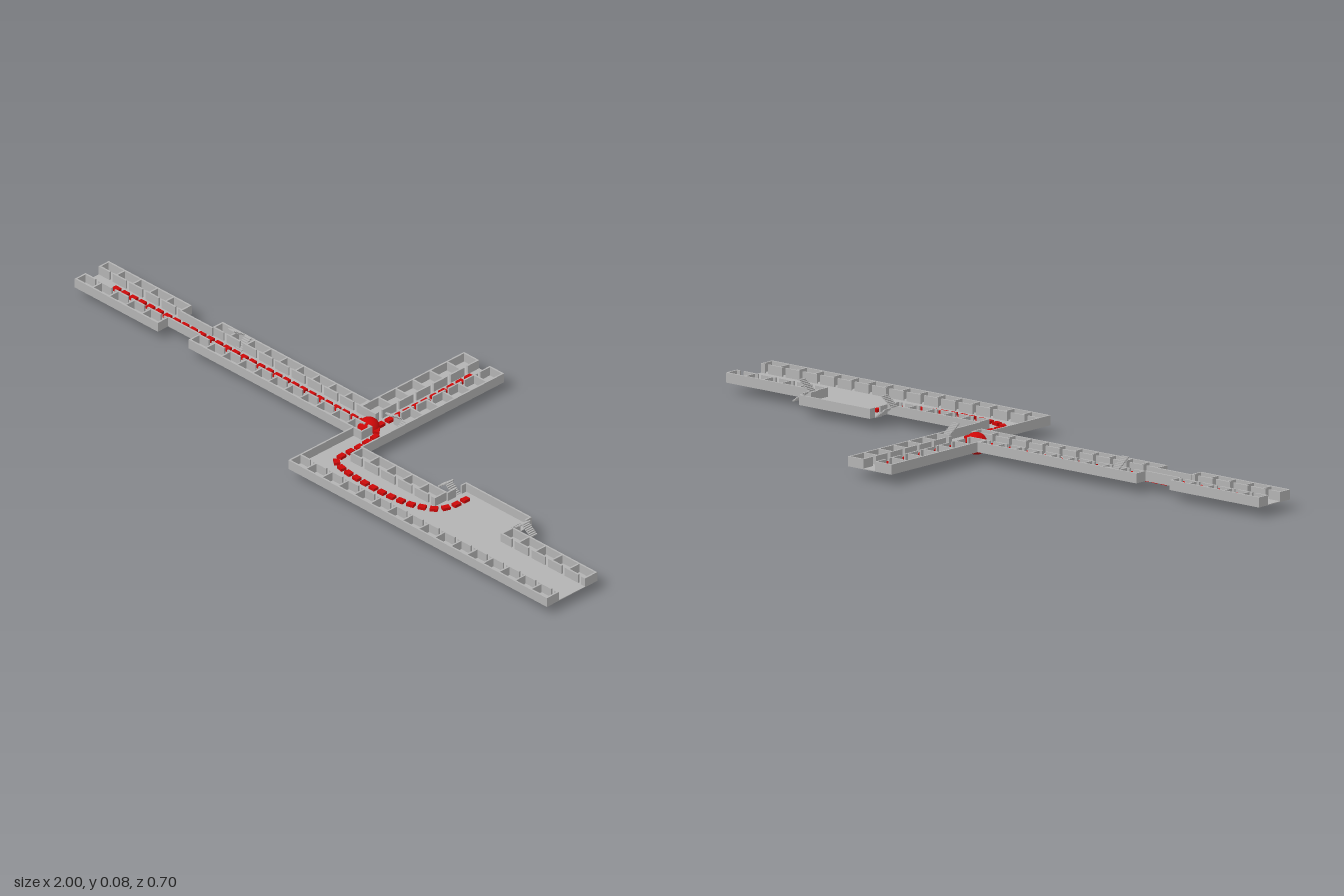
import * as THREE from 'three';

const FLOOR = 0.028, TOP = 0.055, T = 0.005;

export function createModel() {
  const model = new THREE.Group();
  model.name = 'floorPlan';
  const grey = new THREE.MeshStandardMaterial({ color: 0xb3b3b3 });
  grey.name = 'plasterGrey';
  const red = new THREE.MeshStandardMaterial({ color: 0xcc0808 });
  red.name = 'routeRed';

  const group = (name) => {
    const g = new THREE.Group();
    g.name = name;
    model.add(g);
    return g;
  };
  const floors = group('floors'), walls = group('walls'), rooms = group('rooms');
  const stairs = group('stairs'), route = group('route');

  function box(parent, name, x0, x1, y0, y1, z0, z1, mat = grey) {
    const m = new THREE.Mesh(new THREE.BoxGeometry(x1 - x0, y1 - y0, z1 - z0), mat);
    m.position.set((x0 + x1) / 2, (y0 + y1) / 2, (z0 + z1) / 2);
    m.name = name;
    parent.add(m);
  }
  const floor = (x0, x1, z0, z1) => box(floors, 'floor', x0, x1, FLOOR, FLOOR + 0.002, z0, z1);

  // Axis-aligned wall between two points
  function wall(x0, z0, x1, z1, parent = walls) {
    const h = T / 2;
    box(parent, 'wall', Math.min(x0, x1) - h, Math.max(x0, x1) + h, FLOOR, TOP,
      Math.min(z0, z1) - h, Math.max(z0, z1) + h);
  }

  // Row of open-topped rooms; the inner side has a doorway in every room
  function roomRow(axis, from, to, outer, inner) {
    const h = T / 2;
    const start = from + h, end = to - h;
    const out = outer + Math.sign(inner - outer) * h;
    const inn = inner - Math.sign(inner - outer) * h;
    const put = (a0, b0, a1, b1) =>
      axis === 'x' ? wall(a0, b0, a1, b1, rooms) : wall(b0, a0, b1, a1, rooms);
    const n = Math.max(1, Math.round((to - from) / 0.0605));
    const step = (end - start) / n;
    put(start, out, end, out);
    for (let i = 0; i <= n; i++) put(start + i * step, out, start + i * step, inn);
    for (let i = 0; i < n; i++) {
      const a = start + i * step;
      put(a, inn, a + step * 0.58, inn);
      put(a + step * 0.85, inn, a + step, inn);
    }
  }

  // Floor slabs of the three wings, the hub and the hall
  floor(-1, -0.69, -0.01, 0.115);
  floor(-0.69, -0.575, 0.027, 0.077);
  floor(-0.575, 0.035, -0.01, 0.115);
  floor(-0.025, 0.125, -0.355, -0.01);
  floor(0.035, 0.125, -0.01, 0.35);
  floor(0.125, 1, 0.165, 0.35);
  floor(0.44, 0.685, 0.095, 0.165);

  // West wing
  for (const [a, b, c] of [[-1, -0.69, -0.69], [-0.575, -0.025, 0.07]]) {
    roomRow('x', a, b, -0.01, 0.027);
    roomRow('x', a, c, 0.115, 0.075);
  }
  wall(-0.69, 0.0295, -0.575, 0.0295);
  wall(-0.69, 0.0745, -0.575, 0.0745);
  // North wing
  roomRow('z', -0.355, 0.027, -0.025, 0.032);
  roomRow('z', -0.355, 0, 0.125, 0.072);
  // South-east wing
  roomRow('x', 0.035, 1, 0.35, 0.305);
  roomRow('x', 0.125, 0.44, 0.165, 0.21);
  roomRow('x', 0.685, 1, 0.165, 0.21);

  // Hub and hall outer walls
  wall(0.0375, 0.115, 0.0375, 0.3475);
  wall(0.1225, 0, 0.1225, 0.165);
  wall(0.4425, 0.0975, 0.6825, 0.0975);
  wall(0.4425, 0.0975, 0.4425, 0.113);
  wall(0.4425, 0.14, 0.4425, 0.165);
  wall(0.6825, 0.0975, 0.6825, 0.113);
  wall(0.6825, 0.14, 0.6825, 0.165);

  // Two-flight stairs made of separate treads
  const STEPS = 8, RISE = (TOP - FLOOR) / STEPS;
  function flight(axis, a0, a1, b0, b1, base) {
    const run = (a1 - a0) / STEPS;
    for (let i = 0; i < STEPS; i++) {
      const a = a0 + i * run, lo = Math.min(a, a + run), hi = Math.max(a, a + run);
      const y = base + i * RISE;
      if (axis === 'x') box(stairs, 'tread', lo, hi, y, y + RISE, b0, b1);
      else box(stairs, 'tread', b0, b1, y, y + RISE, lo, hi);
    }
  }
  for (const x of [0.404, 0.69]) {
    flight('x', x + 0.036, x, 0.115, 0.139, FLOOR);
    flight('x', x, x + 0.036, 0.14, 0.164, TOP);
  }
  for (const x of [-0.511, 0.077]) {
    flight('z', 0.035, -0.005, x + 0.025, x + 0.048, FLOOR);
    flight('z', -0.005, 0.035, x, x + 0.023, TOP);
  }

  // Dashed route along a path of [x, z] points
  function dashes(points, tension) {
    const curve = new THREE.CatmullRomCurve3(
      points.map(([x, z]) => new THREE.Vector3(x, 0.03, z)), false, 'catmullrom', tension);
    const n = Math.round(curve.getLength() / 0.0315);
    const geo = new THREE.BoxGeometry(0.016, 0.016, 0.021);
    for (let i = 0; i <= n; i++) {
      const p = curve.getPointAt(i / n), t = curve.getTangentAt(i / n);
      const m = new THREE.Mesh(geo, red);
      m.position.copy(p);
      m.rotation.y = Math.atan2(t.x, t.z);
      m.name = 'routeDash';
      route.add(m);
    }
  }
  dashes([[-0.91, 0.05], [-0.45, 0.051], [0.01, 0.055]], 0.5);
  dashes([[0.05, -0.3], [0.055, -0.12], [0.055, 0.03]], 0.5);
  dashes([[0.07, 0.06], [0.088, 0.08], [0.095, 0.15], [0.1, 0.235], [0.16, 0.258],
    [0.29, 0.264], [0.39, 0.253], [0.455, 0.222], [0.475, 0.18], [0.477, 0.135]], 0.4);

  // Marker ball at the hub
  const ball = new THREE.Mesh(new THREE.SphereGeometry(0.03, 32, 20), red);
  ball.position.set(0.04, 0.03, 0.059);
  ball.name = 'startMarker';
  model.add(ball);

  return model;
}
